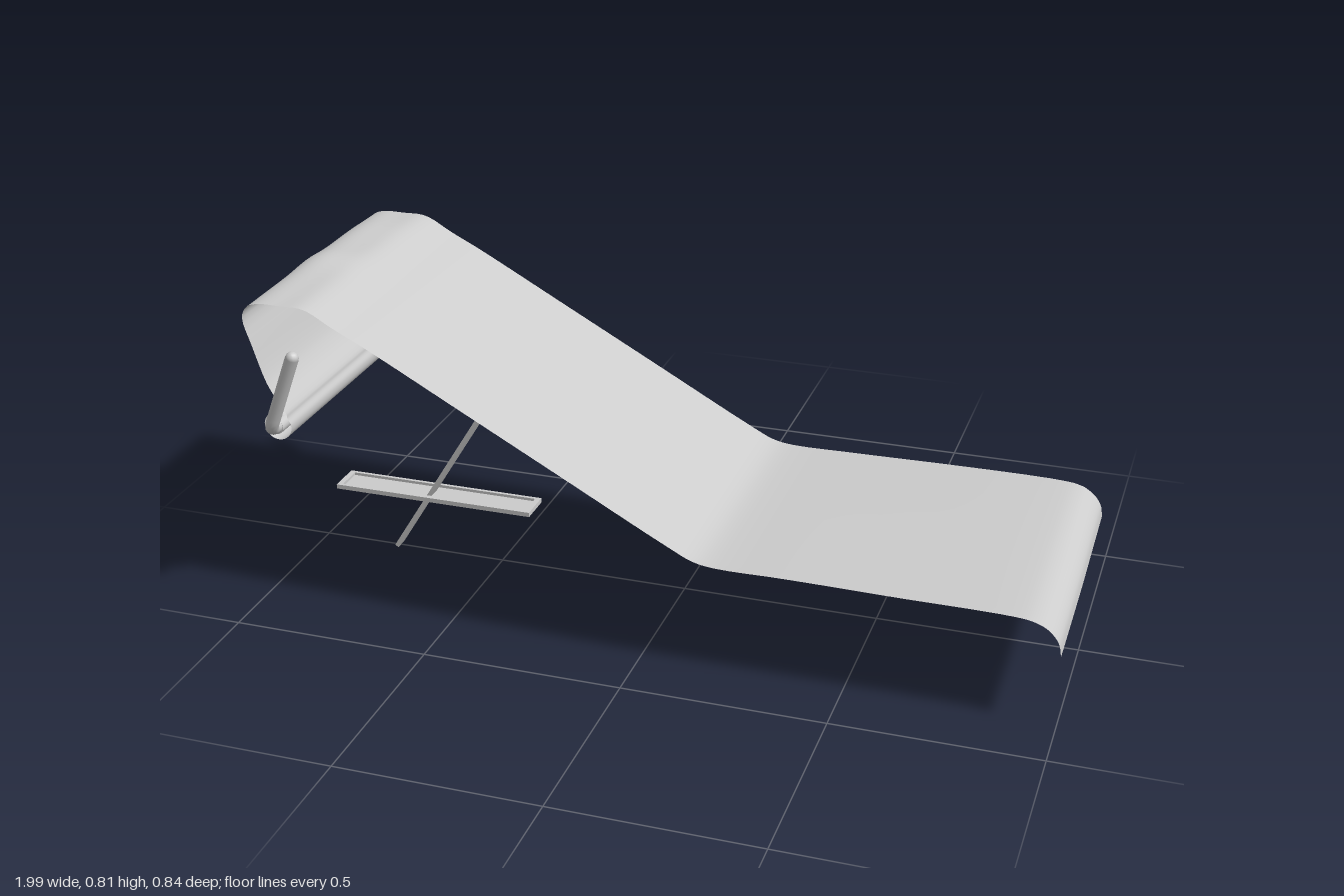
import * as THREE from 'three';

const grey = new THREE.MeshStandardMaterial({ color: 0xcccccc });
const cloth = new THREE.MeshStandardMaterial({ color: 0xcccccc, side: THREE.DoubleSide });
const BAR = { x: -0.93, y: 0.478 };

function add(parent, name, geometry, material = grey) {
  const mesh = new THREE.Mesh(geometry, material);
  mesh.name = name;
  parent.add(mesh);
  return mesh;
}

// Fabric sling: one side profile swept across the width, with soft ripples
function slingGeometry() {
  const profile = [
    [0.997, 0.187], [0.99, 0.22], [0.965, 0.25], [0.93, 0.266], [0.88, 0.272], [0.6, 0.274], [0.35, 0.274],
    [0.18, 0.274], [0.13, 0.283], [0.07, 0.312], [-0.2, 0.459], [-0.45, 0.595], [-0.68, 0.72],
    [-0.76, 0.76], [-0.83, 0.798], [-0.89, 0.804], [-0.945, 0.804], [-0.98, 0.79], [-0.995, 0.76],
    [-0.98, 0.69], [-0.955, 0.6], [-0.935, 0.56], [-0.905, 0.515],
  ];
  // the end wraps once around the bar
  for (let i = 0; i <= 12; i++) {
    const a = 0.7 - (i / 12) * Math.PI * 1.9;
    profile.push([BAR.x + 0.036 * Math.cos(a), BAR.y + 0.036 * Math.sin(a)]);
  }
  const curve = new THREE.CatmullRomCurve3(profile.map(([x, y]) => new THREE.Vector3(x, y, 0)), false, 'centripetal');
  const nu = 136, nv = 24;
  const geo = new THREE.PlaneGeometry(1, 1, nv, nu);
  const pos = geo.attributes.position;
  const p = new THREE.Vector3();
  for (let j = 0; j <= nu; j++) {
    curve.getPoint(j / nu, p);
    const crest = Math.exp(-(((p.x + 0.92) / 0.07) ** 2)) * THREE.MathUtils.smoothstep(p.y, 0.6, 0.78);
    const seat = THREE.MathUtils.smoothstep(p.x, 0.3, 0.7);
    for (let i = 0; i <= nv; i++) {
      const z = 0.353 - (i / nv) * 0.706;
      const ripple = 0.011 * Math.exp(-(((z - 0.05) / 0.07) ** 2))
        + 0.004 * Math.exp(-(((z + 0.2) / 0.08) ** 2)) - 0.006 * (z / 0.353) ** 2;
      const y = p.y + crest * ripple + seat * 0.004 * Math.sin(z * -5);
      const narrow = p.x < -0.84 ? 1 - 0.03 * THREE.MathUtils.smoothstep(0.8 - p.y, 0, 0.2) : 1;
      pos.setXYZ(j * (nv + 1) + i, p.x - 0.008 * seat * (p.x > 0.95 ? Math.max(0, -z) : 0), y, z * narrow);
    }
  }
  geo.computeVertexNormals();
  return geo;
}

// Flat bar with a long shallow recess in its upper face
function recessedBar(parent, name, length, width, thick) {
  const group = new THREE.Group();
  group.name = name;
  const rim = 0.009;
  const rect = (target, a, b) => {
    target.moveTo(-a, -b); target.lineTo(a, -b); target.lineTo(a, b); target.lineTo(-a, b); target.closePath();
    return target;
  };
  const shape = rect(new THREE.Shape(), length / 2, width / 2);
  shape.holes.push(rect(new THREE.Path(), length / 2 - rim * 1.6, width / 2 - rim));
  const frame = new THREE.ExtrudeGeometry(shape, { depth: thick, bevelEnabled: false });
  frame.rotateX(-Math.PI / 2).translate(0, -thick / 2, 0);
  add(group, name + 'Rim', frame);
  const floor = add(group, name + 'Floor', new THREE.BoxGeometry(length - rim * 2, thick * 0.4, width - rim));
  floor.position.y = -thick * 0.299;
  parent.add(group);
  return group;
}

// Places a bar between two points in the side plane
function span(parent, name, [x0, y0], [x1, y1], width, thick) {
  const bar = recessedBar(parent, name, Math.hypot(x1 - x0, y1 - y0), width, thick);
  bar.position.set((x0 + x1) / 2, (y0 + y1) / 2, 0);
  bar.rotation.z = Math.atan2(y1 - y0, x1 - x0);
}

export function createModel() {
  const model = new THREE.Group();
  model.name = 'lounger';

  add(model, 'fabricSling', slingGeometry(), cloth);

  // Bar held in the fabric loop
  const bar = add(model, 'headBar', new THREE.CylinderGeometry(0.018, 0.018, 0.7, 16));
  bar.rotation.x = Math.PI / 2;
  bar.position.set(BAR.x, BAR.y, 0);

  // Bent handles at both ends of the bar
  for (const side of [1, -1]) {
    const path = new THREE.CurvePath();
    const v = (x, y, z) => new THREE.Vector3(x, y, z * side);
    const start = v(BAR.x, BAR.y, 0.33), a = v(BAR.x, BAR.y + 0.002, 0.35);
    const b = v(-0.915, 0.515, 0.388), top = v(-0.843, 0.692, 0.402);
    path.add(new THREE.LineCurve3(start, a));
    path.add(new THREE.QuadraticBezierCurve3(a, v(-0.93, 0.482, 0.386), b));
    path.add(new THREE.LineCurve3(b, top));
    const handle = new THREE.Group();
    handle.name = side > 0 ? 'frontHandle' : 'backHandle';
    add(handle, 'handleTube', new THREE.TubeGeometry(path, 32, 0.0165, 14, false));
    const cap = add(handle, 'handleTip', new THREE.SphereGeometry(0.0165, 14, 8));
    cap.position.copy(top);
    cap.scale.setScalar(0.99);
    model.add(handle);
  }

  // Crossed stand
  span(model, 'lowerRail', [-0.943, 0.17], [-0.403, 0.17], 0.088, 0.012);
  span(model, 'upperRail', [-0.652, 0.537], [-0.378, 0.391], 0.088, 0.014);
  span(model, 'leg', [-0.794, 0.004], [-0.484, 0.503], 0.035, 0.011);

  return model;
}
